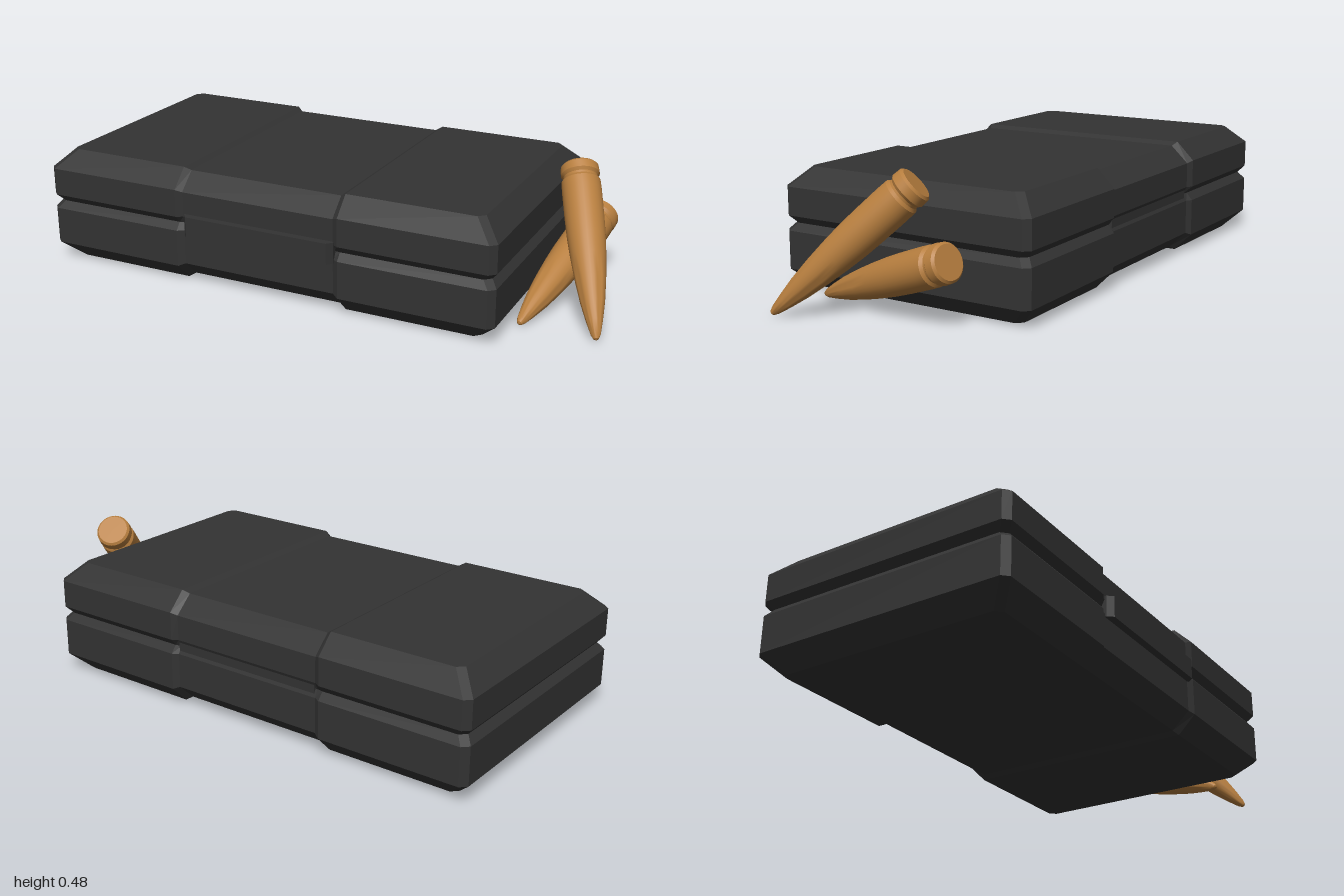
import * as THREE from 'three';
import { toCreasedNormals } from 'three/addons/utils/BufferGeometryUtils.js';

const CX = -0.145, CZ = -0.0075, HALF_X = 0.855, HALF_Z = 0.482;
const CHAMFER = 0.022;

// One half-length station of the case outline: x, half depth, and how far the waist steps in
function stations(inset) {
  const hx = HALF_X - inset, hz = HALF_Z - inset;
  return [
    [CX - hx, hz - CHAMFER, 0],
    [CX - hx + CHAMFER, hz, 0],
    [-0.462, hz, 0],
    [-0.440, hz, 1],
    [0.142, hz, 1],
    [0.164, hz, 0],
    [CX + hx - CHAMFER, hz, 0],
    [CX + hx, hz - CHAMFER, 0],
  ];
}

// Bevelled clamshell: closed outlines stacked in y, with a narrower, thinner waist
function caseGeometry() {
  // y, inset, waist step in z, waist step in y
  const levels = [
    [0, 0.065, 0.013, 0.013],
    [0.065, 0, 0.013, 0.009],
    [0.198, 0, 0.013, 0],
    [0.224, 0.022, 0.004, 0],
    [0.250, 0, 0.013, 0],
    [0.349, 0, 0.013, -0.009],
    [0.414, 0.065, 0.013, -0.013],
  ];
  const rings = levels.map(([y, inset, dz, dy]) => {
    const s = stations(inset);
    const side = (sign) => s.map(([x, hz, w]) => [x, y + w * dy, CZ + sign * (hz - w * dz)]);
    return [...side(1), ...side(-1).reverse()];
  });
  const pos = [];
  const quad = (a, b, c, d) => pos.push(...a, ...b, ...c, ...a, ...c, ...d);
  const n = rings[0].length;
  for (let j = 0; j < rings.length - 1; j++) {
    for (let i = 0; i < n; i++) {
      const k = (i + 1) % n;
      quad(rings[j][i], rings[j][k], rings[j + 1][k], rings[j + 1][i]);
    }
  }
  // Lid and base panels, as strips from front to back
  const top = rings[rings.length - 1], bottom = rings[0];
  for (let i = 0; i < n / 2 - 1; i++) {
    quad(top[i], top[i + 1], top[n - 2 - i], top[n - 1 - i]);
    quad(bottom[n - 1 - i], bottom[n - 2 - i], bottom[i + 1], bottom[i]);
  }
  const geo = new THREE.BufferGeometry();
  geo.setAttribute('position', new THREE.Float32BufferAttribute(pos, 3));
  geo.computeVertexNormals();
  return geo;
}

// Latch bar with slanted ends, drawn in plan and extruded upward
function latchGeometry() {
  const shape = new THREE.Shape([
    new THREE.Vector2(-0.432, -0.43),
    new THREE.Vector2(0.147, -0.43),
    new THREE.Vector2(0.147, -0.468),
    new THREE.Vector2(0.130, -0.488),
    new THREE.Vector2(-0.415, -0.488),
    new THREE.Vector2(-0.432, -0.468),
  ]);
  const geo = new THREE.ExtrudeGeometry(shape, { depth: 0.075, bevelEnabled: false });
  return geo.rotateX(-Math.PI / 2).translate(0, 0.186, 0);
}

// Cartridge standing on its base, tip at y = 0.63
function cartridgeGeometry() {
  const profile = [
    [0, 0], [0.056, 0], [0.064, 0.008], [0.066, 0.036], [0.058, 0.046], [0.058, 0.054],
    [0.066, 0.064], [0.067, 0.10], [0.066, 0.20], [0.064, 0.27], [0.059, 0.34],
    [0.051, 0.42], [0.040, 0.50], [0.027, 0.565], [0.016, 0.61], [0.009, 0.625], [0, 0.63],
  ].map(([r, y]) => new THREE.Vector2(r, y));
  return toCreasedNormals(new THREE.LatheGeometry(profile, 32), 0.6);
}

export function createModel() {
  const model = new THREE.Group();
  const dark = new THREE.MeshStandardMaterial({ color: 0x333333, flatShading: true });
  const brass = new THREE.MeshStandardMaterial({ color: 0xb87f3f });

  const add = (name, geometry, material) => {
    const mesh = new THREE.Mesh(geometry, material);
    mesh.name = name;
    model.add(mesh);
    return mesh;
  };

  add('caseShell', caseGeometry(), dark);
  add('latch', latchGeometry(), dark);

  // Hinge strip filling the seam at the back of the waist
  const hinge = add('hinge', new THREE.BoxGeometry(0.575, 0.05, 0.04), dark);
  hinge.position.set(-0.145, 0.224, -0.451);

  // Two crossed cartridges leaning beside the case: base point, tip point
  const shape = cartridgeGeometry();
  const up = new THREE.Vector3(0, 1, 0);
  [
    ['upperCartridge', [0.785, 0.437, -0.138], [0.992, 0.008, 0.282]],
    ['lowerCartridge', [0.838, 0.222, -0.293], [0.732, 0.010, 0.282]],
  ].forEach(([name, base, tip]) => {
    const start = new THREE.Vector3(...base);
    const dir = new THREE.Vector3(...tip).sub(start);
    const mesh = add(name, shape, brass);
    mesh.position.copy(start);
    mesh.scale.y = dir.length() / 0.63;
    mesh.quaternion.setFromUnitVectors(up, dir.normalize());
  });

  return model;
}
